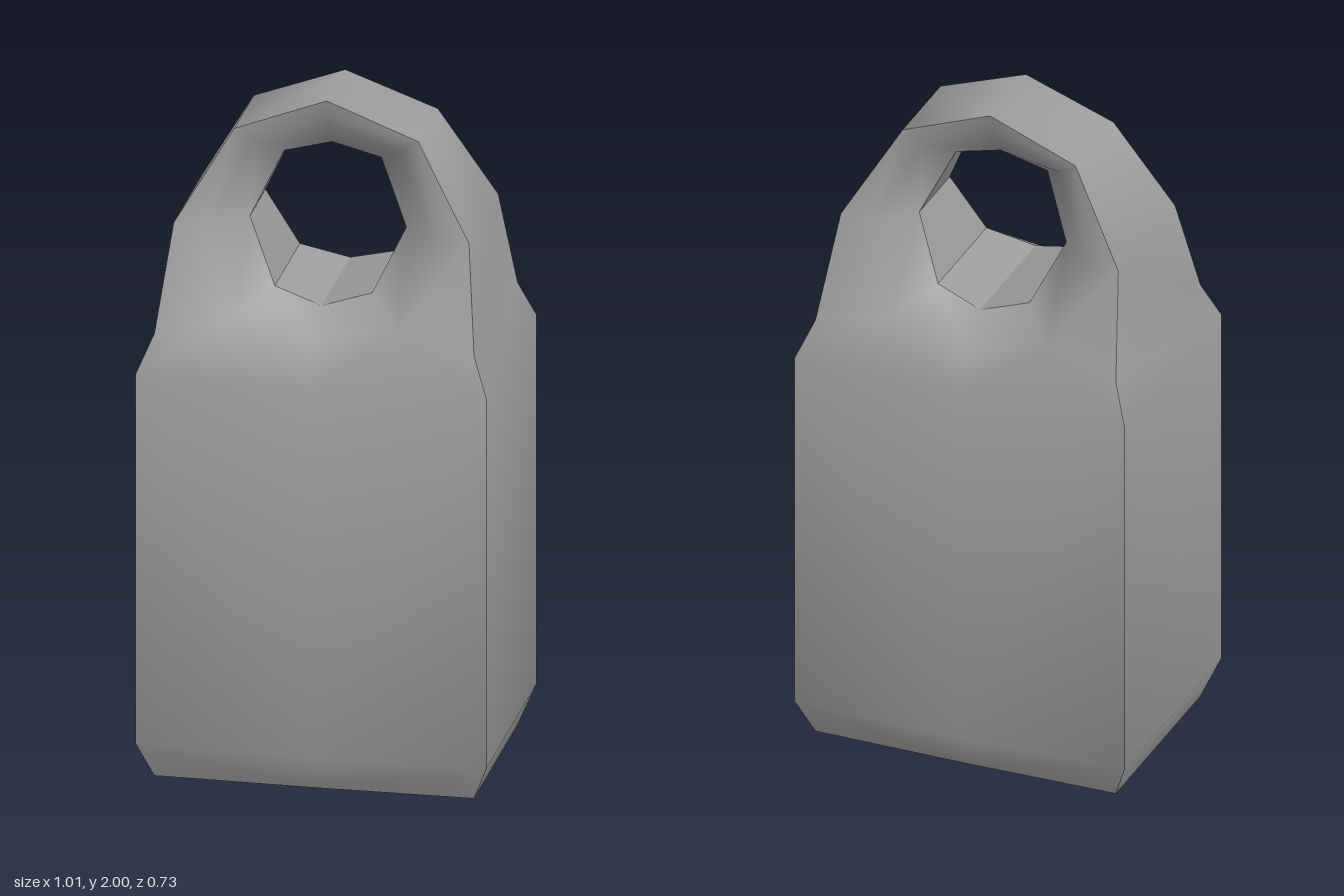
import * as THREE from 'three';
import { toCreasedNormals } from 'three/addons/utils/BufferGeometryUtils.js';

// Half silhouette from the bottom centre up to the crown, z = half depth there
const outline = [
  [0, 0, 0.31], [0.46, 0, 0.305], [0.505, 0.11, 0.35], [0.505, 1.22, 0.35],
  [0.46, 1.33, 0.305], [0.425, 1.63, 0.205], [0.265, 1.9, 0.137], [0, 2, 0.13],
];
// Half rim of the grip hole, bottom to top
const rim = [
  [0, 1.41, 0.2], [0.14, 1.45, 0.175], [0.225, 1.63, 0.11], [0.14, 1.81, 0.045], [0, 1.85, 0.054],
];
// Bulged centre line of the front and the edge of the dish around the hole
const centre = [[0, 0, 0.31], [0, 0.11, 0.365], [0, 1.22, 0.365], [0, 1.343, 0.31]];
const dish = [[0.24, 1.385, 0.288], [0.33, 1.63, 0.205], [0.21, 1.86, 0.122], [0, 1.94, 0.117]];

// Mirrors polygons by the given sign pairs and triangulates them as fans
// from their first corner, so both halves share the same diagonals
function polyMesh(name, polys, signs, crease) {
  const pos = [];
  for (const [sx, sz] of signs) {
    for (const poly of polys) {
      const [first, ...rest] = poly.map(([x, y, z]) => [x * sx, y, z * sz]);
      if (sx * sz < 0) rest.reverse();
      for (let i = 0; i < rest.length - 1; i++) pos.push(...first, ...rest[i], ...rest[i + 1]);
    }
  }
  const geo = new THREE.BufferGeometry();
  geo.setAttribute('position', new THREE.Float32BufferAttribute(pos, 3));
  const mesh = new THREE.Mesh(
    toCreasedNormals(geo, crease),
    new THREE.MeshStandardMaterial({ color: 0x9d9d9d }),
  );
  mesh.name = name;
  return mesh;
}

// Quads joining a path to its copy on the back
function strip(path, inward) {
  const back = ([x, y, z]) => [x, y, -z];
  return path.slice(1).map((b, i) => {
    const a = path[i];
    const quad = [a, back(a), back(b), b];
    return inward ? quad.reverse() : quad;
  });
}

export function createModel() {
  const group = new THREE.Group();
  group.name = 'handledWeight';
  const [, o0, o1, o2, o3, o4, o5, o6] = outline;
  const [h0, h1, h2, h3, h4] = rim;
  const [c0, c1, c2, c3] = centre;
  const [d0, d1, d2, d3] = dish;

  // Half of one broad face: body panel, shoulder, handle, dished hole surround
  const face = [
    [c0, o0, o1, c1], [c1, o1, o2, c2],
    [c2, o2, d0, c3], [o2, o3, d0], [d0, o3, o4, d1],
    [o5, d2, d1, o4], [o5, o6, d3, d2],
    [c3, d0, h1, h0], [d0, d1, h2, h1],
    [d2, h3, h2, d1], [d2, d3, h4, h3],
  ];
  group.add(polyMesh('frontFace', face, [[1, 1], [-1, 1]], 1.1));
  group.add(polyMesh('backFace', face, [[1, -1], [-1, -1]], 1.1));

  // Base, sides and crown
  group.add(polyMesh('sideBand', strip(outline, false), [[1, 1], [-1, 1]], 1.0));

  // Wall of the grip hole
  group.add(polyMesh('gripHole', strip(rim, true), [[1, 1], [-1, 1]], 0.5));
  return group;
}
